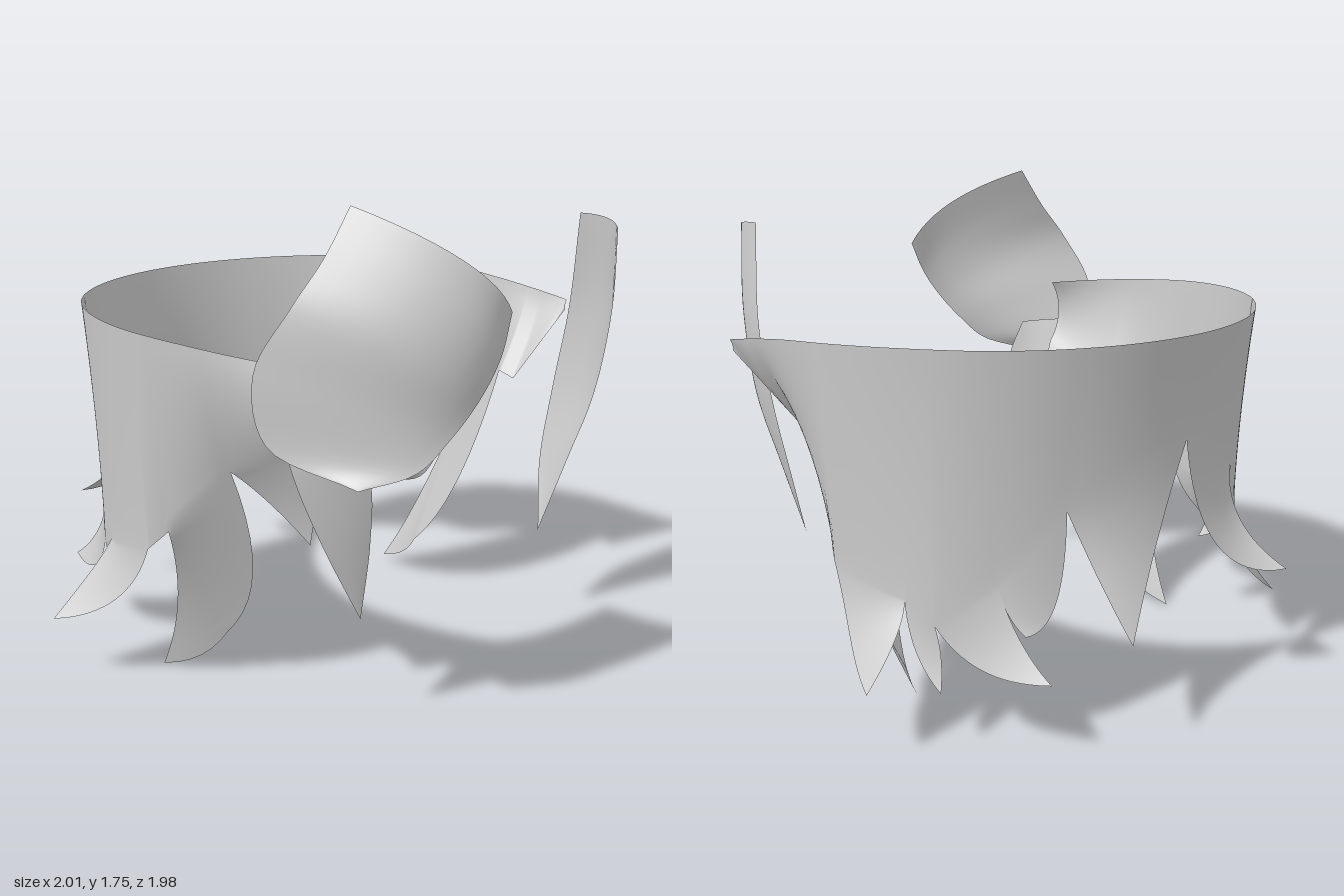
import * as THREE from 'three';
import { mergeGeometries, mergeVertices } from 'three/addons/utils/BufferGeometryUtils.js';

const material = new THREE.MeshStandardMaterial({ color: 0xcccccc, side: THREE.DoubleSide });

// Sheet from a rule f(u, v): u runs across, v runs down
function sheet(f, nu, nv) {
  const pos = [], index = [];
  for (let j = 0; j <= nv; j++)
    for (let i = 0; i <= nu; i++) pos.push(...f(i / nu, j / nv).toArray());
  for (let j = 0; j < nv; j++)
    for (let i = 0; i < nu; i++) {
      const a = j * (nu + 1) + i, c = a + nu + 1;
      index.push(a, c, a + 1, a + 1, c, c + 1);
    }
  const g = new THREE.BufferGeometry();
  g.setAttribute('position', new THREE.Float32BufferAttribute(pos, 3));
  g.setIndex(index);
  return g;
}

// Weld sheets that share an edge into one smooth mesh
function weld(name, sheets) {
  const g = mergeVertices(mergeGeometries(sheets), 1e-4);
  g.computeVertexNormals();
  const mesh = new THREE.Mesh(g, material);
  mesh.name = name;
  return mesh;
}

// Head plan: half ellipse at the back, straight along the sides.
// A hair point is (s = degrees from the back, y, outward offset).
function onHead({ x: s, y, z: out }) {
  const a = THREE.MathUtils.degToRad(THREE.MathUtils.clamp(s, -90, 90));
  const ahead = Math.max(0, Math.abs(s) - 90) * 0.0147;
  return new THREE.Vector3((0.88 + out) * Math.sin(a), y, -(0.84 + out) * Math.cos(a) + ahead);
}
const V = (p) => new THREE.Vector3(...p);

// Notches between the locks, from the left front round to the right front
const notches = [
  [122, 1.2, 0.01], [114, 0.93, -0.17], [109, 0.95, -0.16], [88.6, 0.63, -0.05], [84, 0.56, -0.01],
  [63, 0.5, 0.02], [56, 0.42, 0.03], [43, 0.57, 0.01], [28, 0.8, 0], [-3, 0.97, 0], [-28, 0.8, 0],
  [-43, 0.57, 0.01], [-56, 0.45, 0.01], [-63, 0.5, 0.0], [-84, 0.56, -0.01], [-88.6, 0.63, -0.05],
  [-104, 0.87, -0.13], [-126, 1.0, -0.15],
].map(V);

// Each lock hangs from notch i to i + 1: [i, tip, edge control, edge control]
const locks = [
  [2, [68, 0.03, -0.19], [109, 0.2, -0.54], [83, 0.3, -0.19]],
  [4, [65, 0.25, 0.23], [77, 0.3, 0], [62, 0.42, 0.04]],
  [5, [54, 0.21, 0.08], [62, 0.32, 0.03], [54, 0.32, 0.03]],
  [6, [33, 0.28, 0.16], [48, 0.24, 0.03], [39, 0.38, 0.03]],
  [7, [37, 0.4, 0.05], [41, 0.45, 0.02], [28, 0.4, 0]],
  [8, [19, 0.4, 0.2], [22, 0.6, 0], [10, 0.5, -0.02]],
  [9, [-23, 0.45, 0.24], [-10, 0.43, -0.01], [-23, 0.58, 0]],
  [10, [-37, 0.4, 0.05], [-28, 0.4, 0], [-41, 0.45, 0.02]],
  [11, [-35, 0.27, 0.17], [-39, 0.38, 0.03], [-48, 0.24, 0.03]],
  [12, [-61, 0.33, -0.07], [-55, 0.36, 0], [-63, 0.38, -0.02]],
  [13, [-65, 0.24, 0.23], [-62, 0.42, 0.03], [-77, 0.3, 0]],
  [15, [-68, 0.0, -0.16], [-83, 0.3, -0.2], [-105, 0.12, -0.45]],
  [16, [-119, 0.63, -0.27], [-109, 0.78, -0.22], [-124, 0.83, -0.23]],
];

// Upper rim: height dips toward the front, the right end curls inward
function rim(s) {
  const k = Math.max(0, (Math.abs(s) - 50) / 72);
  const left = s > 0;
  return new THREE.Vector3(s, 1.34 - (left ? 0.1 : 0.07) * k * k, 0.05 - 0.03 * k - (left ? 0 : 0.13 * k ** 4));
}

function backHair() {
  // Wrapped band, from the rim down to the notch line
  const spans = notches.length - 1;
  const band = sheet((u, v) => {
    const i = Math.min(Math.floor(u * spans + 1e-6), spans - 1);
    const low = notches[i].clone().lerp(notches[i + 1], u * spans - i);
    const p = rim(low.x);
    const out = p.z * (1 - v) ** 1.5 + low.z * v ** 1.6;
    p.lerp(low, v).z = out;
    return onHead(p);
  }, spans * 10, 14);

  // Pointed locks below the band
  const tips = locks.map(([i, tip, c1, c2]) => {
    const a = new THREE.QuadraticBezierCurve3(notches[i], V(c1), V(tip));
    const b = new THREE.QuadraticBezierCurve3(notches[i + 1], V(c2), V(tip));
    return sheet((u, v) => onHead(a.getPoint(v).lerp(b.getPoint(v), u)), 10, 16);
  });
  return weld('backHair', [band, ...tips]);
}

// Free strand between two space curves, bulging most at its top
function strand(name, left, right, bulge) {
  const a = new THREE.CatmullRomCurve3(left.map(V), false, 'centripetal');
  const b = new THREE.CatmullRomCurve3(right.map(V), false, 'centripetal');
  const dir = V(bulge);
  return weld(name, [sheet((u, v) => a.getPoint(v).lerp(b.getPoint(v), u)
    .addScaledVector(dir, 4 * u * (1 - u) * Math.cos(v * Math.PI / 2)), 12, 30)]);
}

export function createModel() {
  const group = new THREE.Group();
  group.name = 'hair';
  group.add(backHair());

  // Long narrow strand at the left front
  group.add(strand('leftFrontStrand',
    [[0.59, 1.58, 0.84], [0.62, 1.28, 0.82], [0.63, 0.95, 0.76], [0.59, 0.7, 0.69], [0.54, 0.39, 0.6]],
    [[0.67, 1.62, 0.64], [0.71, 1.25, 0.59], [0.69, 0.95, 0.55], [0.63, 0.65, 0.54], [0.54, 0.39, 0.6]],
    [0.03, 0.01, 0.02]));

  // Broad swept fringe at the right front, its top edge slanting to the centre
  group.add(strand('rightFringe',
    [[-0.62, 1.75, 0.6], [-0.72, 1.6, 0.58], [-0.81, 1.46, 0.53], [-0.86, 1.25, 0.42], [-0.84, 1.03, 0.45], [-0.76, 0.93, 0.75]],
    [[-0.3, 1.43, 0.97], [-0.37, 1.3, 0.98], [-0.45, 1.18, 0.96], [-0.54, 1.07, 0.92], [-0.63, 0.98, 0.87], [-0.76, 0.93, 0.75]],
    [-0.02, 0.01, 0.13]));

  // Thin strand hanging under the fringe
  group.add(strand('rightFrontStrand',
    [[-0.8, 1.1, 0.47], [-0.77, 0.92, 0.5], [-0.69, 0.68, 0.55], [-0.56, 0.4, 0.6]],
    [[-0.7, 1.07, 0.68], [-0.64, 0.92, 0.7], [-0.6, 0.7, 0.67], [-0.56, 0.4, 0.6]],
    [-0.02, 0, 0.01]));

  return group;
}
